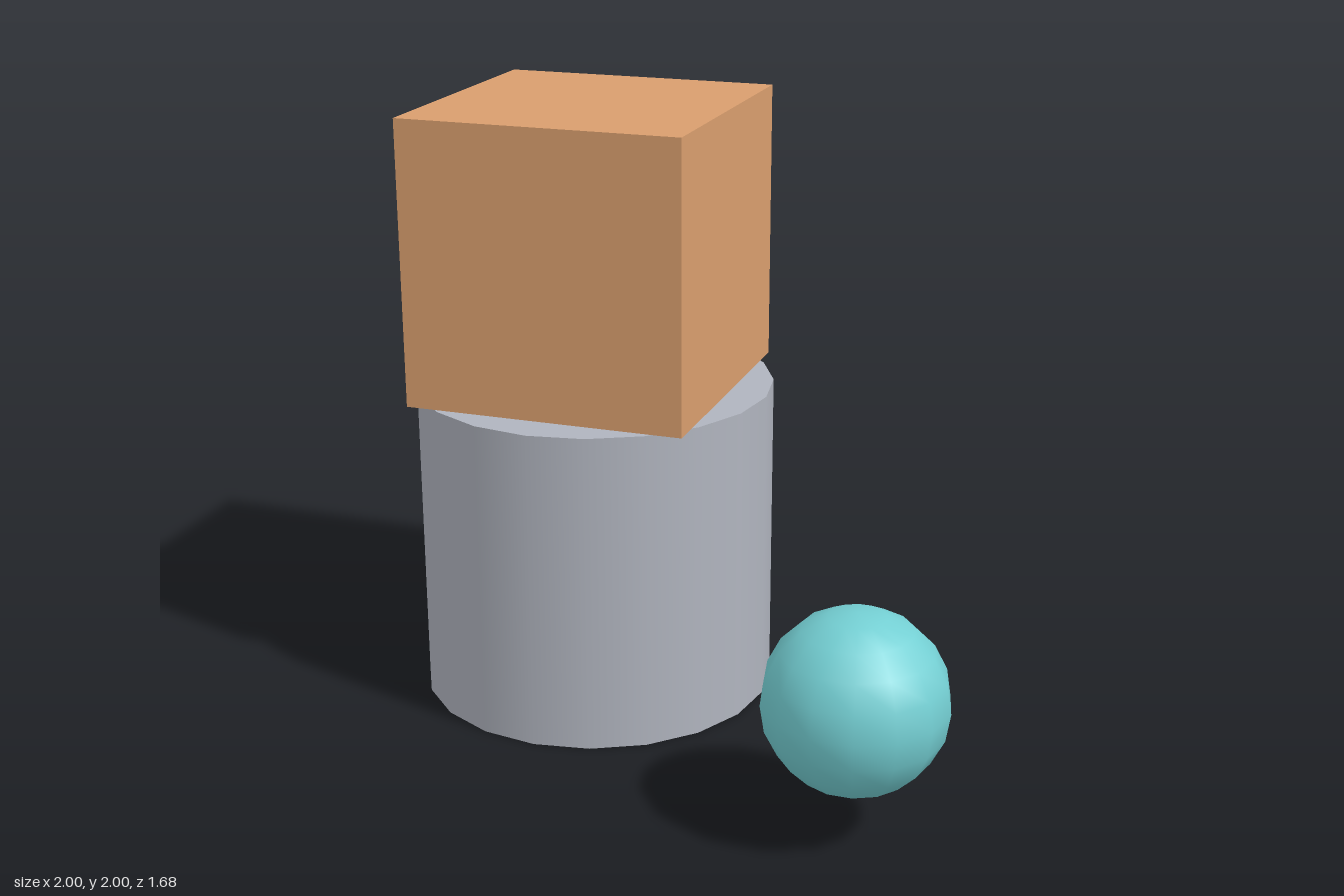
import * as THREE from 'three';

function part(name, geometry, color, x, y, z) {
  const mesh = new THREE.Mesh(geometry, new THREE.MeshStandardMaterial({ color }));
  mesh.name = name;
  mesh.position.set(x, y, z);
  return mesh;
}

export function createModel() {
  const group = new THREE.Group();
  group.name = 'primitives';

  const drumHeight = 1.068;
  const cubeSize = 2 - drumHeight;

  // Upright 20-sided drum standing on the ground
  group.add(part('drum', new THREE.CylinderGeometry(0.597, 0.597, drumHeight, 20),
    0xb0b4be, -0.403, drumHeight / 2, -0.243));

  // Cube resting on top of the drum
  group.add(part('cube', new THREE.BoxGeometry(cubeSize, cubeSize, cubeSize),
    0xd99e6e, -0.403, drumHeight + cubeSize / 2, -0.243));

  // Ball floating in front, to the model's left
  group.add(part('ball', new THREE.SphereGeometry(0.284, 14, 10),
    0x74cfd3, 0.716, 0.445, 0.562));

  return group;
}
